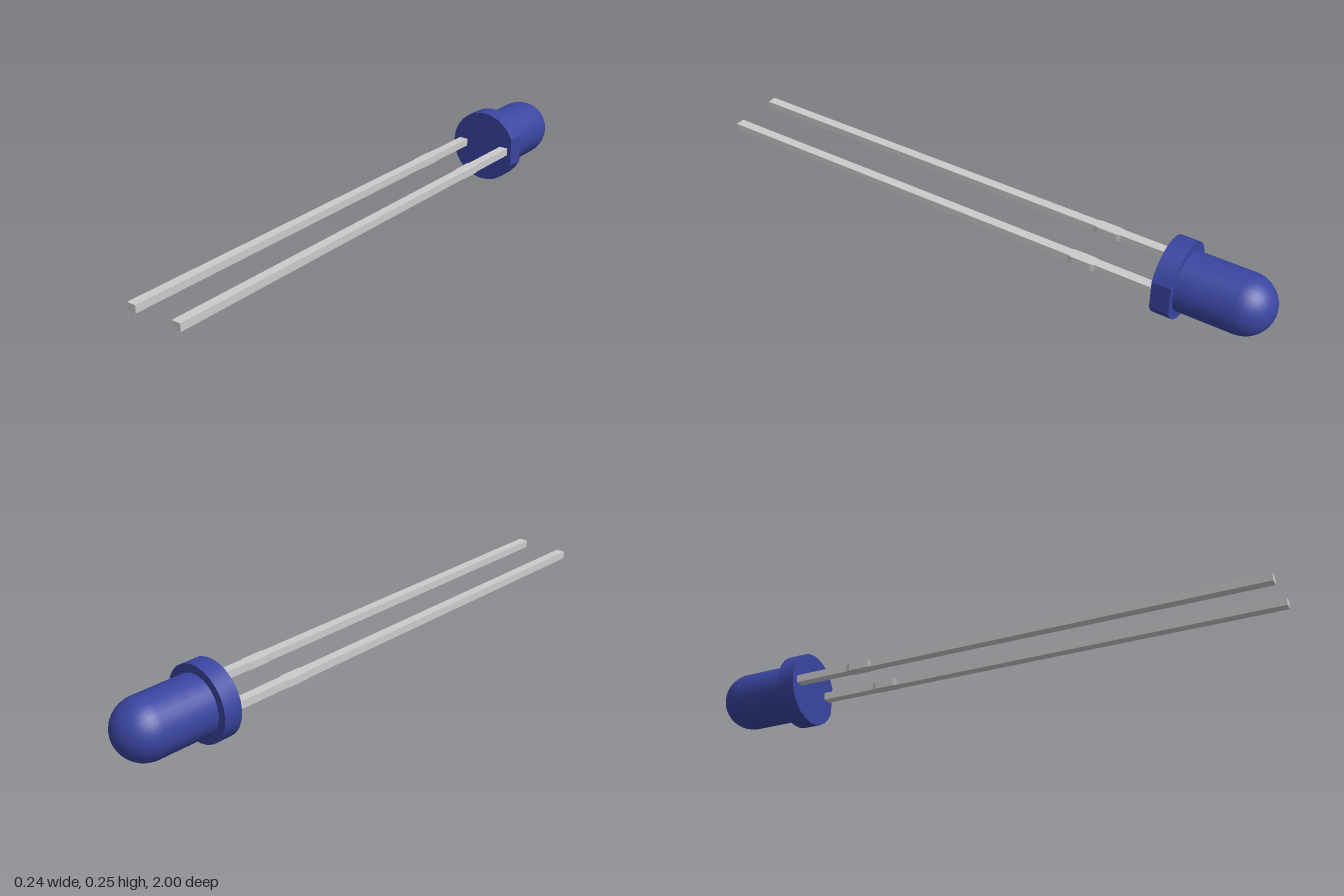
import * as THREE from 'three';
import { toCreasedNormals } from 'three/addons/utils/BufferGeometryUtils.js';

const CX = 0.004, CY = 0.128; // axis of the bulb
const BASE = -0.647, COLLAR_END = -0.711, DOME_START = -0.9, TIP = -1;

export function createModel() {
  const group = new THREE.Group();
  const blue = new THREE.MeshStandardMaterial({ color: 0x3a45a0 });
  const grey = new THREE.MeshStandardMaterial({ color: 0xcccccc });

  function add(name, geometry, material, x, y, z) {
    const mesh = new THREE.Mesh(geometry, material);
    mesh.name = name;
    mesh.position.set(x, y, z);
    group.add(mesh);
  }

  // Collar: a disc with one flat on the left side
  const radius = 0.127, flat = Math.asin(0.049 / radius), sides = 22;
  const outline = [];
  for (let i = 0; i <= sides; i++) {
    const a = flat + (i / sides) * (2 * Math.PI - 2 * flat);
    outline.push(new THREE.Vector2(Math.cos(a) * radius, Math.sin(a) * radius));
  }
  const collar = new THREE.ExtrudeGeometry(new THREE.Shape(outline), {
    depth: BASE - COLLAR_END, bevelEnabled: false,
  });
  add('collar', toCreasedNormals(collar, 0.4), blue, CX, CY, COLLAR_END);

  // Bulb: straight barrel ending in a round dome
  const r = 0.099, barrel = COLLAR_END - DOME_START;
  const profile = [new THREE.Vector2(r, 0)];
  for (let i = 0; i <= 10; i++) {
    const a = (i / 10) * Math.PI / 2;
    profile.push(new THREE.Vector2(
      i === 10 ? 0 : Math.cos(a) * r, barrel + Math.sin(a) * (DOME_START - TIP)));
  }
  const bulb = new THREE.LatheGeometry(profile, 32);
  bulb.rotateX(-Math.PI / 2);
  add('bulb', bulb, blue, CX, CY, COLLAR_END);

  // Legs: square wires with a slightly wider stretch near the collar
  const w = 0.016, wide = 0.0195, thick = 0.026;
  const edge = [[w, BASE - 0.01], [w, -0.448], [wide, -0.435], [wide, -0.366], [w, -0.353], [w, 1]];
  const legShape = new THREE.Shape([
    ...edge.map(([x, z]) => new THREE.Vector2(x, z)),
    ...edge.slice().reverse().map(([x, z]) => new THREE.Vector2(-x, z)),
  ]);
  const leg = new THREE.ExtrudeGeometry(legShape, { depth: thick, bevelEnabled: false });
  leg.rotateX(Math.PI / 2); // length along z
  leg.translate(0, thick / 2, 0);
  for (const [name, side] of [['leftLeg', 1], ['rightLeg', -1]]) {
    add(name, leg, grey, CX + side * 0.086, CY + 0.001, 0);
  }
  return group;
}
